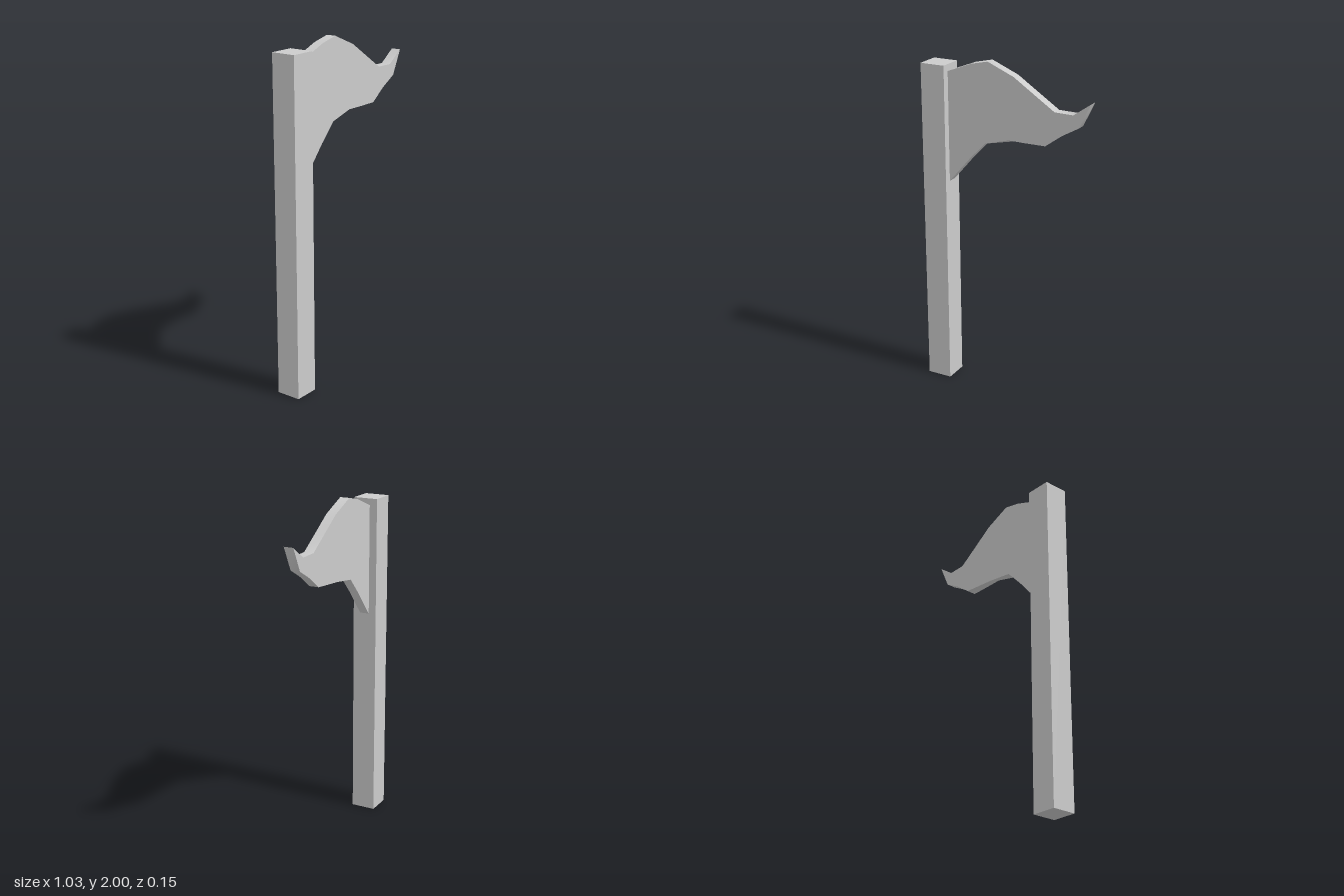
import * as THREE from 'three';
import { toCreasedNormals } from 'three/addons/utils/BufferGeometryUtils.js';

export function createModel() {
  const group = new THREE.Group();
  const material = new THREE.MeshStandardMaterial({ color: 0xcccccc });

  // Square upright post
  const post = new THREE.Mesh(new THREE.BoxGeometry(0.15, 1.957, 0.146), material);
  post.name = 'post';
  post.position.set(-0.44, 1.957 / 2, 0);
  group.add(post);

  // Waving flag: side outline, clockwise from the top at the post
  const outline = [
    [-0.365, 1.918], [-0.215, 1.976], [-0.11, 2], [0.05, 1.934], [0.17, 1.855],
    [0.3, 1.77], [0.41, 1.768], [0.512, 1.84], [0.445, 1.7], [0.345, 1.643],
    [0.246, 1.571], [0.13, 1.57], [0.02, 1.571], [-0.13, 1.53], [-0.23, 1.426],
    [-0.365, 1.27],
  ].map(([x, y]) => new THREE.Vector2(x, y));
  const flagGeometry = new THREE.ExtrudeGeometry(new THREE.Shape(outline), {
    depth: 0.057, bevelEnabled: false,
  });
  flagGeometry.translate(0, 0, -0.027);

  // The lower edge sags slightly on the back face
  const p = flagGeometry.attributes.position;
  for (let i = 0; i < p.count; i++) {
    const sagging = Math.abs(p.getX(i) - 0.02) < 0.005 && p.getY(i) < 1.6;
    if (sagging && p.getZ(i) < 0) p.setXY(i, 0.03, 1.552);
  }

  const flag = new THREE.Mesh(toCreasedNormals(flagGeometry, 0.65), material);
  flag.name = 'flag';
  group.add(flag);

  return group;
}
